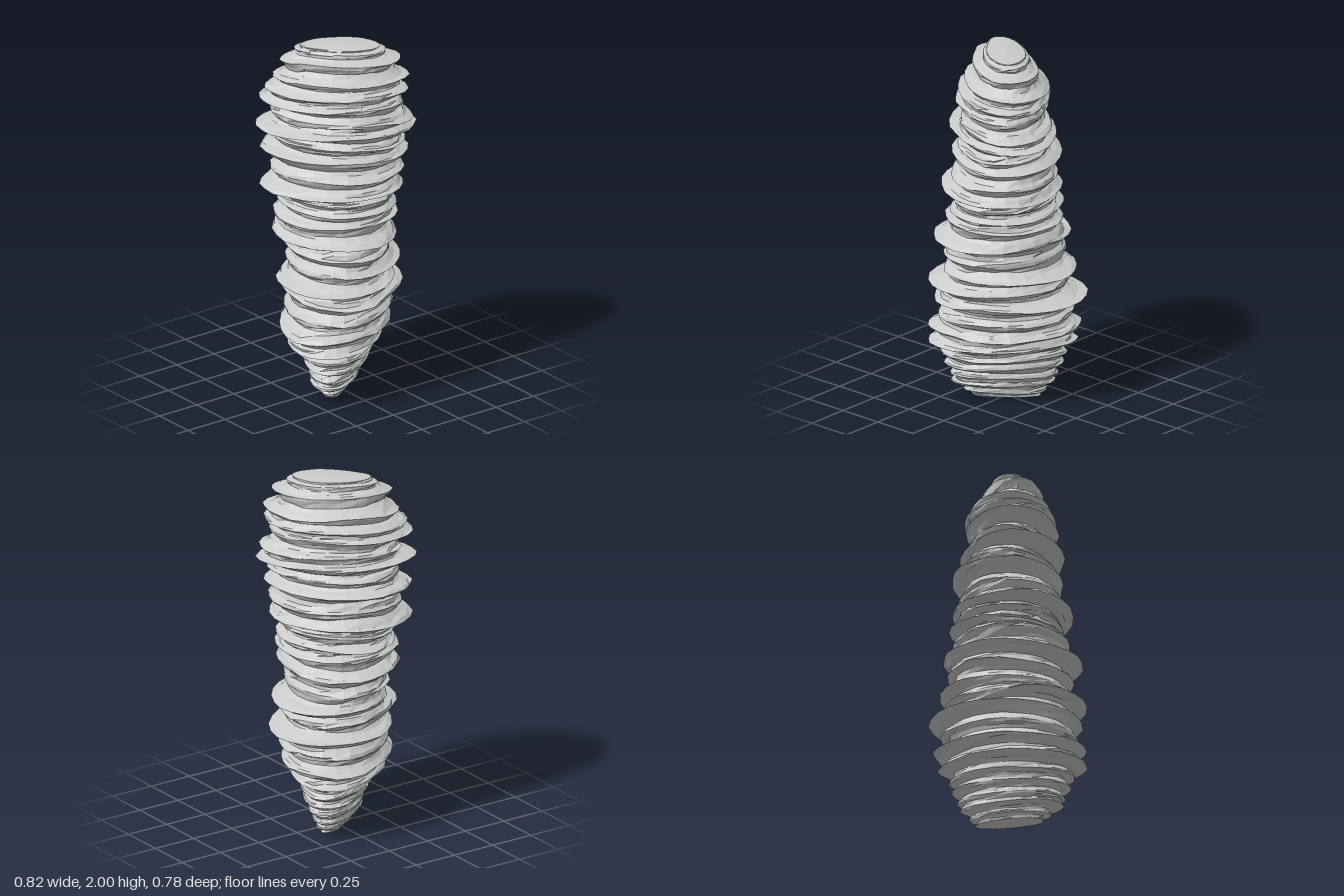
import * as THREE from 'three';

// Ridges from bottom to top: [height, reach to +x, +z, -x, -z]
const RIDGES = [
  [0.01, 0.15, 0.13, 0.15, 0.12], [0.04, 0.18, 0.16, 0.18, 0.15], [0.09, 0.21, 0.22, 0.24, 0.20],
  [0.14, 0.23, 0.23, 0.24, 0.21], [0.20, 0.26, 0.27, 0.27, 0.24], [0.26, 0.27, 0.29, 0.29, 0.26],
  [0.33, 0.32, 0.34, 0.37, 0.32], [0.41, 0.35, 0.34, 0.39, 0.36], [0.50, 0.34, 0.35, 0.33, 0.33],
  [0.60, 0.41, 0.37, 0.32, 0.39], [0.68, 0.31, 0.38, 0.38, 0.31], [0.76, 0.38, 0.34, 0.29, 0.33],
  [0.85, 0.28, 0.35, 0.29, 0.34], [0.94, 0.30, 0.39, 0.35, 0.37], [1.04, 0.31, 0.33, 0.35, 0.31],
  [1.10, 0.29, 0.34, 0.29, 0.35], [1.16, 0.27, 0.33, 0.29, 0.32], [1.21, 0.31, 0.36, 0.41, 0.35],
  [1.30, 0.32, 0.35, 0.34, 0.31], [1.40, 0.33, 0.34, 0.36, 0.37], [1.47, 0.30, 0.34, 0.30, 0.31],
  [1.54, 0.37, 0.35, 0.40, 0.32], [1.60, 0.35, 0.34, 0.31, 0.28], [1.69, 0.29, 0.33, 0.37, 0.31],
  [1.75, 0.32, 0.32, 0.35, 0.31], [1.82, 0.33, 0.30, 0.30, 0.27], [1.92, 0.28, 0.27, 0.27, 0.20],
  [1.97, 0.21, 0.21, 0.19, 0.16], [1.99, 0.18, 0.18, 0.17, 0.13],
];
// Half widths along the two diagonals: [height, toward (+x,+z), toward (-x,+z)]
const DIAGONALS = [
  [0, 0.08, 0.24], [0.25, 0.21, 0.38], [0.5, 0.35, 0.45], [0.9, 0.36, 0.40],
  [1.25, 0.41, 0.33], [1.6, 0.42, 0.27], [1.8, 0.40, 0.25], [2, 0.30, 0.14],
];
const SEGMENTS = 24;
const STEPS = [0, 0.14, 0.32, 0.5, 0.68, 0.86];

const lerp = THREE.MathUtils.lerp;

// Repeatable noise in -1..1
function hash(a, b) {
  const s = Math.sin(a * 127.1 + b * 311.7) * 43758.5453;
  return (s - Math.floor(s)) * 2 - 1;
}

function diagonalsAt(y) {
  let i = 0;
  while (i < DIAGONALS.length - 2 && DIAGONALS[i + 1][0] < y) i++;
  const a = DIAGONALS[i], b = DIAGONALS[i + 1];
  const t = (y - a[0]) / (b[0] - a[0]);
  return [lerp(a[1], b[1], t), lerp(a[2], b[2], t)];
}

// Levels of the column: full reach at every ridge, hollow between two ridges
function makeLevels() {
  const levels = [];
  for (let i = 0; i < RIDGES.length - 1; i++) {
    const a = RIDGES[i], b = RIDGES[i + 1], gap = b[0] - a[0];
    const depth = 1 - Math.min(0.14, gap * 1.8);
    for (const t of STEPS) {
      const reach = [1, 2, 3, 4].map((k) => {
        const groove = depth * (0.6 * Math.min(a[k], b[k]) + 0.2 * (a[k] + b[k]));
        const edge = Math.pow(Math.abs(2 * t - 1), 1.25);
        return lerp(groove, t < 0.5 ? a[k] : b[k], edge);
      });
      levels.push({ y: lerp(a[0], b[0], t), reach, gap });
    }
  }
  const last = RIDGES[RIDGES.length - 1];
  levels.push({ y: last[0], reach: last.slice(1), gap: 0.02 });
  return levels;
}

function ridgedColumnGeometry() {
  const levels = makeLevels();
  const positions = [], index = [];
  levels.forEach(({ y, reach, gap }, i) => {
    const [u, v] = diagonalsAt(y);
    const extent = Math.sqrt((u * u + v * v) / 2);
    const inner = Math.min(1, y / 0.08, (2 - y) / 0.08);
    for (let j = 0; j < SEGMENTS; j++) {
      const angle = (j / SEGMENTS) * Math.PI * 2;
      // broken ledges: chips shared by short runs of neighbouring corners
      const run = Math.floor(((j + (i % 3)) % SEGMENTS) / 3);
      const chip = 1 + 0.028 * hash(i, run) + 0.012 * hash(i, j + 50);
      const p = u * Math.cos(angle) * chip, q = v * Math.sin(angle) * chip;
      let x = (p - q) * Math.SQRT1_2 / extent;
      let z = (p + q) * Math.SQRT1_2 / extent;
      x *= x > 0 ? reach[0] : reach[2];
      z *= z > 0 ? reach[1] : reach[3];
      // slight waviness of the rings plus uneven layer heights
      const wave = 0.003 * Math.sin(angle + y * 7) + 0.003 * Math.sin(angle * 3 + y * 11);
      const h = y + inner * (wave + gap * 0.07 * hash(i + 200, run));
      positions.push(x, h, z);
    }
  });
  // side faces
  for (let i = 0; i < levels.length - 1; i++) {
    for (let j = 0; j < SEGMENTS; j++) {
      const k = (j + 1) % SEGMENTS;
      const a = i * SEGMENTS + j, b = i * SEGMENTS + k;
      const c = a + SEGMENTS, d = b + SEGMENTS;
      index.push(a, c, b, b, c, d);
    }
  }
  // shallow pointed ends
  const bottom = positions.length / 3, top = bottom + 1;
  positions.push(0, 0, 0, 0.03, 2, 0.04);
  const lastRing = (levels.length - 1) * SEGMENTS;
  for (let j = 0; j < SEGMENTS; j++) {
    const k = (j + 1) % SEGMENTS;
    index.push(bottom, j, k, top, lastRing + k, lastRing + j);
  }
  const geometry = new THREE.BufferGeometry();
  geometry.setAttribute('position', new THREE.Float32BufferAttribute(positions, 3));
  geometry.setIndex(index);
  geometry.computeVertexNormals();
  return geometry;
}

export function createModel() {
  const group = new THREE.Group();
  group.name = 'layeredRockColumn';
  const material = new THREE.MeshStandardMaterial({ color: 0xcccccc, flatShading: true });
  const column = new THREE.Mesh(ridgedColumnGeometry(), material);
  column.name = 'ridgedColumn';
  group.add(column);
  return group;
}
